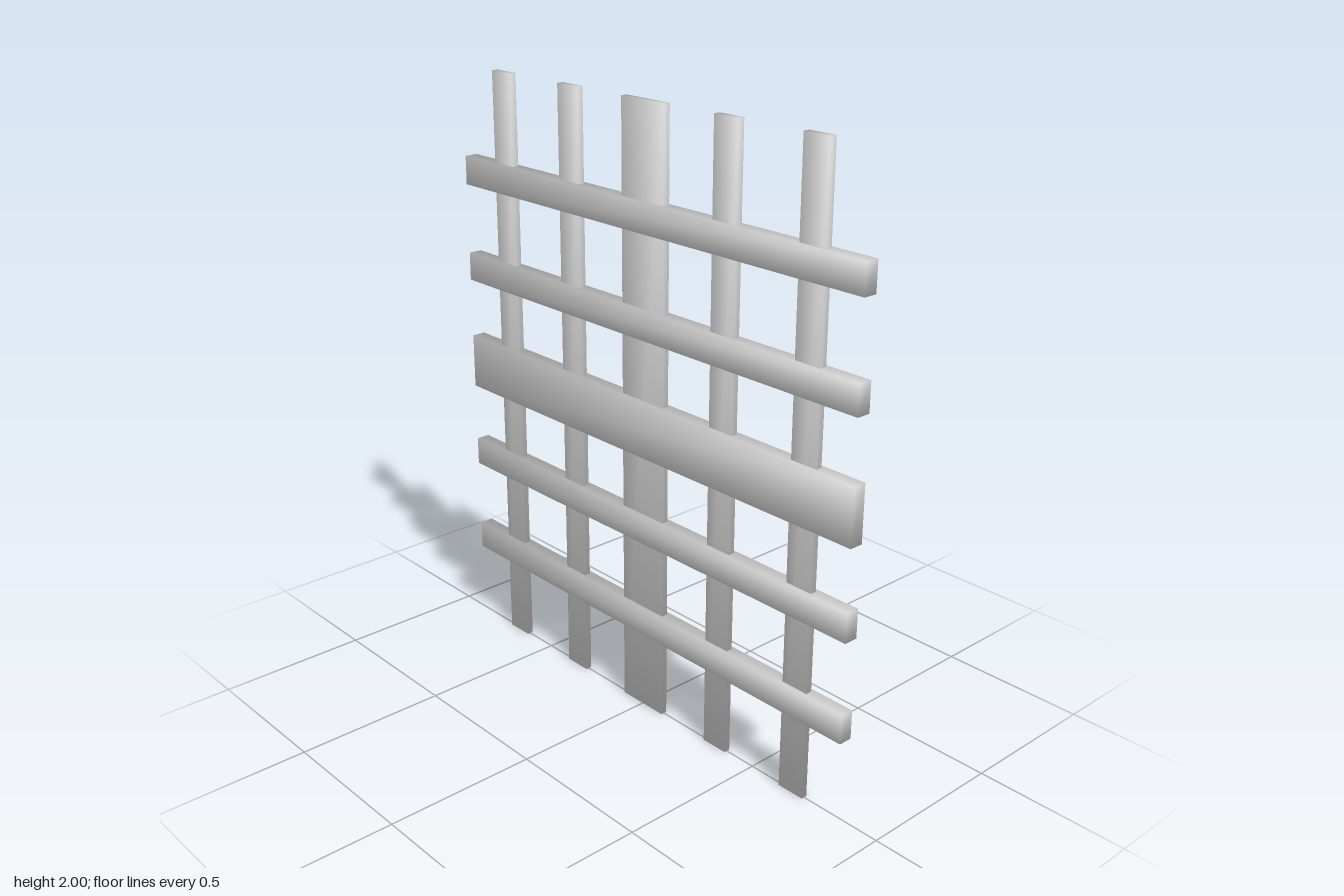
import * as THREE from 'three';

const material = new THREE.MeshStandardMaterial({ color: 0xcccccc });

// Box with normals blended across its corners for soft shading
function slat(name, w, h, d, x, y) {
  const geometry = new THREE.BoxGeometry(w, h, d);
  const { position, normal } = geometry.attributes;
  const k = 1 / Math.sqrt(3);
  for (let i = 0; i < position.count; i++) {
    normal.setXYZ(
      i,
      Math.sign(position.getX(i)) * k,
      Math.sign(position.getY(i)) * k,
      Math.sign(position.getZ(i)) * k
    );
  }
  const mesh = new THREE.Mesh(geometry, material);
  mesh.name = name;
  mesh.position.set(x, y, 0);
  return mesh;
}

export function createModel() {
  const lattice = new THREE.Group();
  lattice.name = 'lattice';

  // Five thin uprights and five thicker rails; the middle one of each is wide
  [-0.67, -0.34, 0, 0.34, 0.67].forEach((offset, i) => {
    const width = i === 2 ? 0.185 : 0.095;
    lattice.add(slat(`upright${i + 1}`, width, 2, 0.021, offset, 1));
    lattice.add(slat(`rail${i + 1}`, 1.73, width, 0.046, 0, 0.987 + offset));
  });

  return lattice;
}
